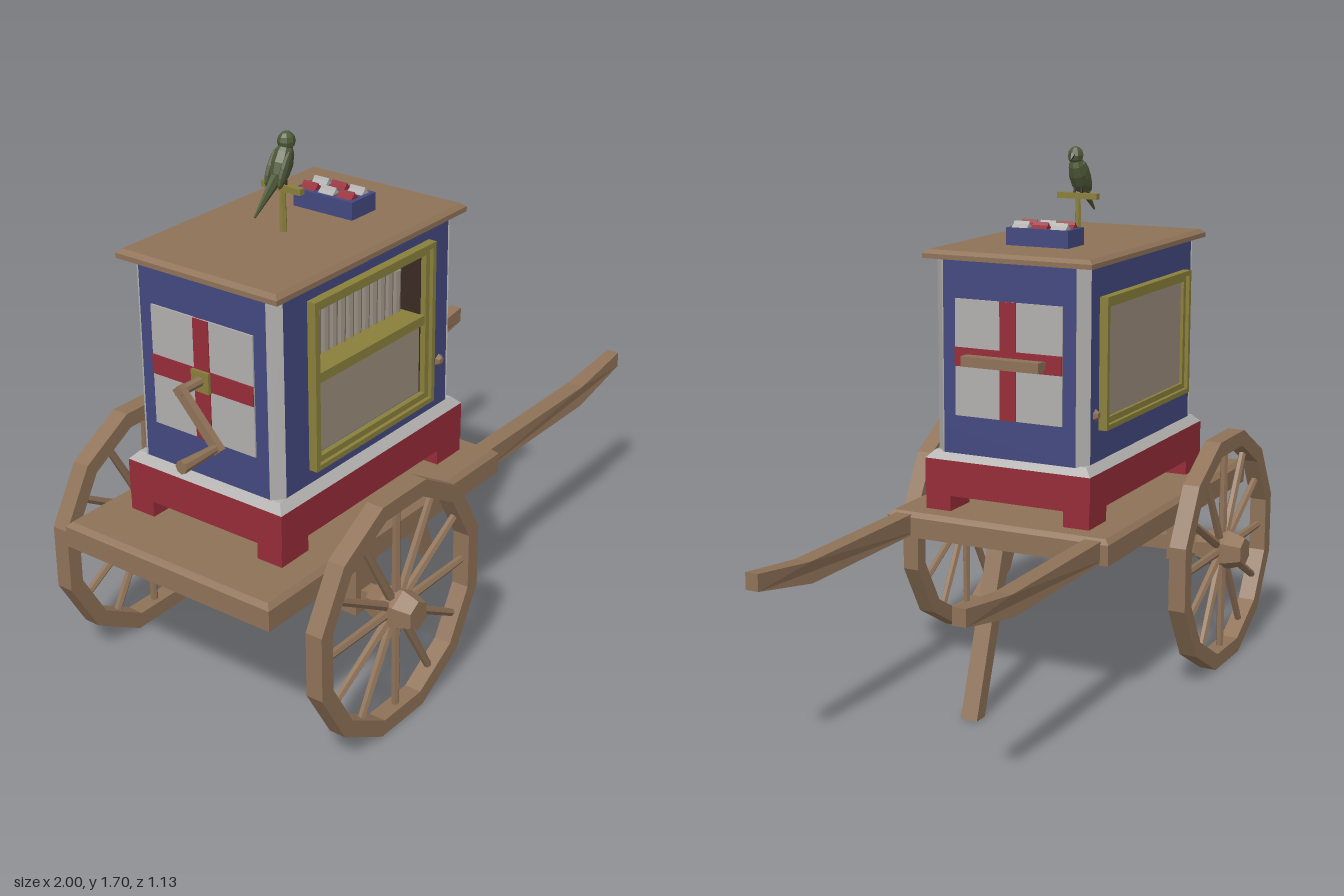
import * as THREE from 'three';

const mat = (name, color) => {
  const m = new THREE.MeshStandardMaterial({ color });
  m.name = name;
  return m;
};

export function createModel() {
  const wood = mat('wood', 0x8f7258), blue = mat('blue paint', 0x434980), red = mat('red paint', 0x962c38);
  const white = mat('white paint', 0xb2b0ae), gold = mat('gilding', 0x8a803c), cloth = mat('beige panel', 0x9c8d7c);
  const tin = mat('pipe metal', 0x978c80), dark = mat('dark interior', 0x3a2a22), green = mat('green feathers', 0x4f5a38);

  const root = new THREE.Group();
  root.name = 'barrelOrganCart';

  // faceted mesh
  const add = (name, geo, material, parent = root) => {
    const g = geo.index ? geo.toNonIndexed() : geo;
    g.computeVertexNormals();
    const mesh = new THREE.Mesh(g, material);
    mesh.name = name;
    parent.add(mesh);
    return mesh;
  };
  // box from ranges; its top can be drawn in on all sides
  const box = (name, material, [x0, x1], [y0, y1], [z0, z1], inset = 0, parent = root) => {
    const w = x1 - x0, d = z1 - z0;
    const g = new THREE.BoxGeometry(w, y1 - y0, d);
    const p = g.attributes.position;
    for (let i = 0; i < p.count; i++) if (p.getY(i) > 0) {
      p.setX(i, p.getX(i) * (1 - 2 * inset / w));
      p.setZ(i, p.getZ(i) * (1 - 2 * inset / d));
    }
    g.translate((x0 + x1) / 2, (y0 + y1) / 2, (z0 + z1) / 2);
    return add(name, g, material, parent);
  };
  const shapeOf = pts => new THREE.Shape(pts.map(([x, y]) => new THREE.Vector2(x, y)));
  const extrude = (shape, depth) =>
    new THREE.ExtrudeGeometry(shape, { depth, bevelEnabled: false }).translate(0, 0, -depth / 2);
  // tapered rod between two points
  const rod = (name, material, a, b, ra, rb, sides, parent = root) => {
    const A = new THREE.Vector3(...a), B = new THREE.Vector3(...b);
    const m = add(name, new THREE.CylinderGeometry(rb, ra, A.distanceTo(B), sides), material, parent);
    m.position.copy(A).add(B).multiplyScalar(0.5);
    m.quaternion.setFromUnitVectors(new THREE.Vector3(0, 1, 0), B.sub(A).normalize());
    return m;
  };
  const ring = (r, n) => Array.from({ length: n }, (_, i) => {
    const a = (i + 0.5) * 2 * Math.PI / n;
    return [r * Math.cos(a), r * Math.sin(a)];
  });

  // cart bed
  box('bedFrame', wood, [-0.96, 0.185], [0.5, 0.565], [-0.385, 0.385]);
  box('bedTop', wood, [-0.96, 0.185], [0.565, 0.58], [-0.385, 0.385], 0.015);

  // pulling shafts, thinner at the grips
  for (const s of [-1, 1]) {
    const g = extrude(shapeOf([[0.1, 0.505], [0.74, 0.505], [1, 0.553], [1, 0.605], [0.75, 0.573], [0.1, 0.573]]), 0.056);
    const p = g.attributes.position;
    for (let i = 0; i < p.count; i++) if (p.getX(i) > 0.9) p.setZ(i, p.getZ(i) * 0.75);
    add('shaft', g, wood).position.z = s * 0.33;
  }

  // slanted prop leg
  add('propLeg', extrude(shapeOf([[0.305, 0], [0.357, 0], [0.185, 0.5], [0.128, 0.5]]), 0.056), wood);

  // axle and its hangers
  box('axle', wood, [-0.53, -0.48], [0.365, 0.415], [-0.43, 0.43]);
  for (const s of [-1, 1])
    box('axleHanger', wood, [-0.555, -0.455], [0.34, 0.5], [s * 0.341 - 0.035, s * 0.341 + 0.035]);

  // twelve-sided wheels
  for (const s of [-1, 1]) {
    const wheel = new THREE.Group();
    wheel.name = 'wheel';
    wheel.position.set(-0.505, 0.386, s * 0.484);
    root.add(wheel);
    const rim = shapeOf(ring(0.399, 12));
    rim.holes.push(new THREE.Path(shapeOf(ring(0.347, 12)).getPoints()));
    add('rim', extrude(rim, 0.056), wood, wheel);
    for (let i = 0; i < 12; i++) {
      const a = i * Math.PI / 6, c = Math.cos(a), n = Math.sin(a);
      rod('spoke', wood, [0.03 * c, 0.03 * n, 0], [0.342 * c, 0.342 * n, 0], 0.015, 0.012, 6, wheel);
    }
    const hub = new THREE.LatheGeometry(
      [[0, -0.08], [0.047, -0.08], [0.065, -0.025], [0.065, 0.025], [0.047, 0.08], [0, 0.08]]
        .map(q => new THREE.Vector2(...q)), 6);
    hub.rotateX(Math.PI / 2);
    add('hub', hub, wood, wheel);
  }

  // organ plinth and feet
  for (const [x0, x1] of [[-0.78, -0.66], [-0.015, 0.11]])
    for (const s of [-1, 1])
      box('foot', red, [x0, x1], [0.58, 0.64], [s * 0.242 - 0.044, s * 0.242 + 0.044]);
  box('plinth', red, [-0.78, 0.11], [0.63, 0.745], [-0.288, 0.288]);
  box('plinthMoulding', white, [-0.78, 0.11], [0.745, 0.77], [-0.288, 0.288], 0.024);

  // case with cut corners; the middle layer is notched for the front opening
  const X0 = -0.757, X1 = 0.09, Z = 0.262, C = 0.033, W0 = -0.59, W1 = -0.075;
  const plan = notch => shapeOf([
    [X0, -Z + C], [X0 + C, -Z],
    ...(notch ? [[W0, -Z], [W0, -0.1], [W1, -0.1], [W1, -Z]] : []),
    [X1 - C, -Z], [X1, -Z + C], [X1, Z - C], [X1 - C, Z], [X0 + C, Z], [X0, Z - C]]);
  for (const [y0, y1, notch] of [[0.765, 0.85, false], [0.85, 1.3, true], [1.3, 1.385, false]]) {
    const g = new THREE.ExtrudeGeometry(plan(notch), { depth: y1 - y0, bevelEnabled: false });
    add('case', g.rotateX(-Math.PI / 2).translate(0, y0, 0), blue);
  }
  for (const [x, sx] of [[X0 + C / 2, -1], [X1 - C / 2, 1]])
    for (const s of [-1, 1]) {
      const m = add('cornerStrip', new THREE.BoxGeometry(C * 1.41, 0.615, 0.008), white);
      m.position.set(x, 1.0745, s * (Z - C / 2));
      m.rotation.y = sx * s * Math.PI / 4;
    }

  // lid
  box('lidEdge', wood, [-0.782, 0.112], [1.38, 1.395], [-0.29, 0.29]);
  box('lidTop', wood, [-0.782, 0.112], [1.395, 1.407], [-0.29, 0.29], 0.014);

  // gilded frames: broad moulding with a raised outer bead
  const frame = (name, x0, x1, y0, y1, z, s) => {
    const band = (border, depth) => {
      const sh = shapeOf([[x0, y0], [x1, y0], [x1, y1], [x0, y1]]);
      const b = border;
      sh.holes.push(new THREE.Path([[x0 + b, y0 + b], [x0 + b, y1 - b], [x1 - b, y1 - b], [x1 - b, y0 + b]]
        .map(q => new THREE.Vector2(...q))));
      add(name, extrude(sh, depth), gold).position.z = s * (z + depth / 2);
    };
    band(0.035, 0.018);
    band(0.016, 0.03);
  };
  frame('frontFrame', -0.62, -0.043, 0.815, 1.333, 0.26, 1);
  frame('backFrame', -0.665, -0.005, 0.868, 1.282, 0.26, -1);
  box('backPanel', cloth, [-0.635, -0.035], [0.9, 1.25], [-0.268, -0.258]);

  // front opening: lining, cloth panel, rail and pipes
  box('liningBack', dark, [W0, W1], [0.85, 1.3], [0.098, 0.106]);
  box('liningTop', dark, [W0, W1], [1.293, 1.301], [0.1, 0.26]);
  box('liningSide', dark, [W0, W0 + 0.006], [0.85, 1.3], [0.1, 0.26]);
  box('liningSide', dark, [W1 - 0.006, W1], [0.85, 1.3], [0.1, 0.26]);
  box('frontPanel', cloth, [W0, W1], [0.848, 1.08], [0.235, 0.258]);
  box('pipeRail', gold, [W0, W1], [1.075, 1.105], [0.11, 0.275]);
  for (let i = 0; i < 13; i++) {
    const x = -0.564 + i * 0.0385, top = 1.272 - 0.048 * ((i - 6.5) / 6.5) ** 2;
    rod('pipe', tin, [x, 1.1, 0.185], [x, top, 0.185], 0.015, 0.017, 8);
  }
  for (const s of [-1, 1]) rod('lockKnob', wood, [0.018, 0.92, s * 0.26], [0.018, 0.92, s * 0.274], 0.022, 0.01, 6);

  // end panels with red crosses
  for (const [x, s] of [[X0, -1], [X1, 1]]) {
    const slab = t => [Math.min(x, x + s * t), Math.max(x, x + s * t)];
    box('endPanel', white, slab(0.005), [0.89, 1.26], [-0.185, 0.185]);
    box('crossUpright', red, slab(0.008), [0.89, 1.26], [-0.028, 0.028]);
    box('crossBar', red, slab(0.0085), [1.048, 1.108], [-0.185, 0.185]);
  }

  // carrying handle
  box('handleGrip', wood, [0.118, 0.155], [1.06, 1.092], [-0.133, 0.133]);
  for (const s of [-1, 1])
    box('handleMount', wood, [0.088, 0.125], [1.065, 1.087], [s * 0.115 - 0.015, s * 0.115 + 0.015]);

  // crank
  box('crankPlate', gold, [-0.775, -0.757], [1.043, 1.107], [-0.032, 0.032]);
  rod('crankAxle', wood, [-0.76, 1.077, 0], [-0.865, 1.077, 0], 0.015, 0.015, 8);
  const arm = add('crankArm', new THREE.BoxGeometry(0.022, 0.215, 0.03), wood);
  arm.position.set(-0.852, 1.009, 0.062);
  arm.rotation.x = -Math.atan2(0.125, 0.137);
  rod('crankGrip', wood, [-0.845, 0.942, 0.125], [-1, 0.942, 0.125], 0.012, 0.02, 8);

  // tray of coloured rolls on the lid
  box('tray', blue, [-0.213, -0.098], [1.405, 1.462], [-0.108, 0.108]);
  for (let c = 0; c < 2; c++)
    for (let r = 0; r < 3; r++) {
      const roll = add('roll', extrude(shapeOf([[-0.022, 0], [0.022, 0], [0.006, 0.012], [0, 0.022], [-0.006, 0.012]]), 0.054),
        (c + r) % 2 ? white : red);
      roll.position.set(-0.181 + c * 0.052, 1.46, (r - 1) * 0.067);
    }

  // perch
  rod('perchPost', gold, [-0.395, 1.4, 0], [-0.395, 1.535, 0], 0.012, 0.009, 6);
  box('perchBar', gold, [-0.405, -0.385], [1.53, 1.549], [-0.071, 0.071]);

  // bird
  const bird = new THREE.Group();
  bird.name = 'bird';
  root.add(bird);
  const blob = (name, x, y, z, sx, sy, sz, tilt) => {
    const m = add(name, new THREE.SphereGeometry(1, 8, 6), green, bird);
    m.position.set(x, y, z);
    m.scale.set(sx, sy, sz);
    m.rotation.z = tilt;
  };
  blob('birdBody', -0.395, 1.61, 0, 0.034, 0.066, 0.031, -0.4);
  blob('birdHead', -0.374, 1.671, 0, 0.028, 0.029, 0.026, 0);
  for (const s of [-1, 1]) blob('birdWing', -0.412, 1.6, s * 0.024, 0.02, 0.058, 0.009, -0.5);
  const tail = rod('birdTail', green, [-0.408, 1.585, 0], [-0.52, 1.485, 0], 0.024, 0.004, 6, bird);
  tail.scale.z = 0.7;
  rod('birdBeak', dark, [-0.354, 1.673, 0], [-0.337, 1.657, 0], 0.011, 0.001, 5, bird);
  for (const s of [-1, 1]) rod('birdLeg', dark, [-0.395, 1.57, s * 0.012], [-0.393, 1.545, s * 0.012], 0.005, 0.005, 5, bird);

  return root;
}
